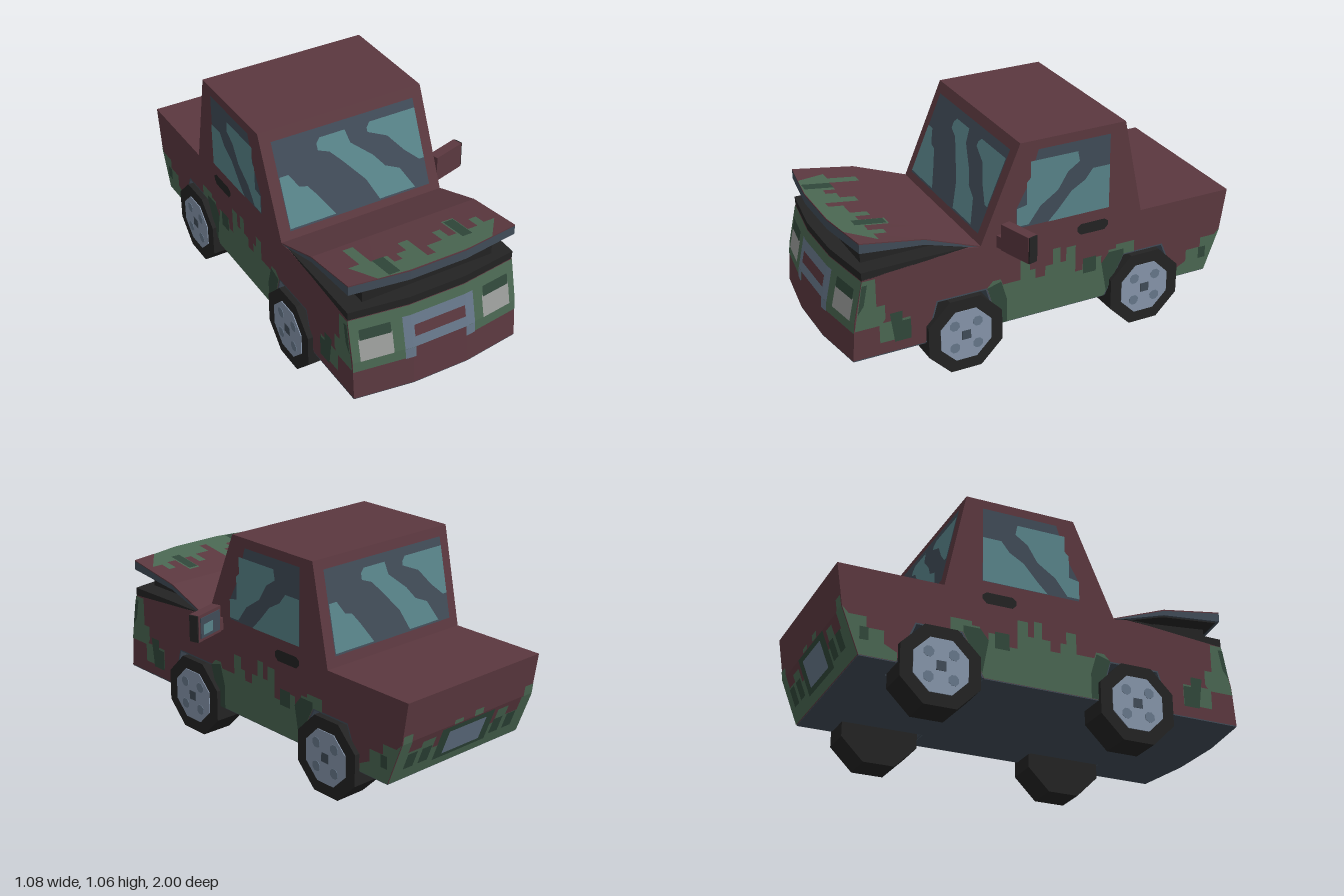
import * as THREE from 'three';

const mat = (name, color, flatShading = true) => {
  const m = new THREE.MeshStandardMaterial({ color, flatShading });
  m.name = name;
  return m;
};

export function createModel() {
  const maroon = mat('maroon paint', 0x5b383f), green = mat('moss green', 0x4a6752);
  const darkGreen = mat('dark moss', 0x30473a), black = mat('black rubber', 0x232323);
  const teal = mat('glass glare', 0x588389), slate = mat('slate', 0x404b57);
  const blueGrey = mat('blue grey metal', 0x66778a), hubGrey = mat('hub metal', 0x8695aa);
  const lampGrey = mat('lamp grey', 0x9a9c9a);

  const truck = new THREE.Group();
  truck.name = 'pickupTruck';
  const body = new THREE.Group();
  body.name = 'body';
  body.position.x = -0.095;
  truck.add(body);

  const add = (name, geo, material, parent = body) => {
    const m = new THREE.Mesh(geo, material);
    m.name = name;
    parent.add(m);
    return m;
  };
  const W = 0.42;
  // the nose is flat in the middle and swept back at the corners
  const sweep = x => 0.04 * Math.max(0, Math.abs(x) - 0.14) / 0.28;

  // Side profile of (z, y) points, extruded across the car from x0 to x1
  const prism = (name, material, pts, x0, x1, steps = 1) => {
    const shape = new THREE.Shape(pts.map(p => new THREE.Vector2(...p)));
    const geo = new THREE.ExtrudeGeometry(shape, { depth: x1 - x0, steps, bevelEnabled: false });
    geo.rotateY(-Math.PI / 2).translate(x1, 0, 0);
    const p = geo.attributes.position;
    for (let i = 0; i < p.count; i++) if (p.getZ(i) > 0.9) p.setZ(i, p.getZ(i) - sweep(p.getX(i)));
    geo.computeVertexNormals();
    return add(name, geo, material);
  };

  // Thin painted plate: 2D outline laid on a surface by a mapping rule
  const mapGeo = (geo, map, flip) => {
    const p = geo.attributes.position;
    for (let i = 0; i < p.count; i++) p.setXYZ(i, ...map(p.getX(i), p.getY(i)));
    if (flip) geo.setIndex(Array.from(geo.index.array).reverse());
    geo.computeVertexNormals();
    return geo;
  };
  const plate = (name, material, pts, map, flip = false) =>
    add(name, mapGeo(new THREE.ShapeGeometry(new THREE.Shape(pts.map(p => new THREE.Vector2(...p)))), map, flip), material);
  const rect = (x0, x1, y0, y1) => [[x0, y0], [x1, y0], [x1, y1], [x0, y1]];

  // Main shell: full centre section, outer sections with wheel arches
  const upper = [[0.985, 0.37], [0.94, 0.575], [0.6, 0.6], [0.4, 0.61], [0.33, 0.6], [0.13, 1.065],
    [-0.41, 1.065], [-0.51, 0.59], [-1, 0.59], [-0.97, 0.39], [-0.89, 0.18]];
  const arches = [[[-0.72, 0.18], [-0.64, 0.38], [-0.42, 0.38], [-0.32, 0.18]],
    [[0.24, 0.18], [0.3, 0.38], [0.55, 0.38], [0.61, 0.18]]];
  const floor = (a, b) => [[a, 0.176], [b, 0.176], [b, 0.181], [a, 0.181]];
  prism('shellCentre', [slate, maroon], [[1, 0.18], ...upper], -0.28, 0.28, 4);
  prism('floorCentre', slate, floor(-0.889, 0.999), -0.28, 0.28, 4);
  for (const [x0, x1] of [[-W, -0.28], [0.28, W]]) {
    prism('shellSide', maroon, [[1, 0.18], ...upper, ...arches.flat()], x0, x1);
    for (const [a, b] of [[-0.889, -0.72], [-0.32, 0.24], [0.61, 0.999]]) prism('floorSide', slate, floor(a, b), x0, x1);
    for (const a of arches) {
      const [p, q, r, s] = a;
      prism('archLining', slate, [p, q, r, s, [s[0] - 0.008, 0.18], [r[0] - 0.005, 0.373], [q[0] + 0.005, 0.373],
        [p[0] + 0.008, 0.18]], x0, x1);
    }
  }

  // Engine bay and raised hood
  prism('engineRim', black, [[0.941, 0.572], [0.943, 0.612], [0.6, 0.616], [0.38, 0.615], [0.6, 0.598]], -W, W, 6);
  prism('engineBlock', black, [[0.87, 0.6], [0.87, 0.7], [0.6, 0.682], [0.42, 0.615]], -0.33, 0.33);
  prism('hood', slate, [[0.945, 0.752], [0.945, 0.708], [0.6, 0.678], [0.38, 0.612], [0.33, 0.6], [0.6, 0.702]], -W, W, 6);
  prism('hoodLining', black, [[0.925, 0.707], [0.925, 0.701], [0.6, 0.672], [0.4, 0.612], [0.6, 0.679]], -0.41, 0.41, 6);
  prism('hoodPaint', maroon, [[0.945, 0.757], [0.945, 0.751], [0.6, 0.701], [0.33, 0.599], [0.33, 0.605], [0.6, 0.707]], -W, W, 6);
  const hoodMap = d => (x, z) => [x, 0.707 + (z - 0.6) * 0.145 + d, z];
  plate('hoodMoss', green, [[-W, 0.904], [-W, 0.8], [-0.35, 0.78], [-0.29, 0.78], [-0.29, 0.64], [-0.24, 0.64],
    [-0.24, 0.79], [-0.16, 0.79], [-0.16, 0.85], [-0.12, 0.85], [-0.12, 0.8], [-0.07, 0.8], [-0.07, 0.73], [-0.02, 0.73],
    [-0.02, 0.89], [0.02, 0.89], [0.02, 0.82], [0.1, 0.82], [0.1, 0.74], [0.14, 0.74], [0.14, 0.81], [0.18, 0.81],
    [0.18, 0.69], [0.24, 0.69], [0.24, 0.81], [0.29, 0.81], [0.29, 0.74], [0.33, 0.74], [0.33, 0.8], [W, 0.8],
    [W, 0.904], [0.14, 0.944], [-0.14, 0.944]], hoodMap(0.003), true);
  plate('hoodDarkMoss', darkGreen, rect(-0.235, -0.18, 0.79, 0.928), hoodMap(0.005), true);
  plate('hoodDarkMoss', darkGreen, rect(0.185, 0.235, 0.7, 0.85), hoodMap(0.005), true);

  // Nose: moss band, lamps and grille follow the swept front
  const frontZ = y => y < 0.37 ? 1 - (y - 0.18) * 0.079 : 0.985 - (y - 0.37) * 0.2195;
  const nose = (name, material, x0, x1, y0, y1, d, nx = 1, ny = 1) =>
    add(name, mapGeo(new THREE.PlaneGeometry(x1 - x0, y1 - y0, nx, ny).translate((x0 + x1) / 2, (y0 + y1) / 2, 0),
      (x, y) => [x, y, frontZ(y) - sweep(x) + d]), material);
  nose('noseMoss', green, -W, W, 0.32, 0.57, 0.002, 6, 5);
  nose('grille', blueGrey, -0.18, 0.18, 0.37, 0.525, 0.005, 9);
  nose('grilleSlot', maroon, -0.13, 0.13, 0.42, 0.475, 0.008);
  nose('grilleGap', maroon, -0.13, 0.13, 0.32, 0.37, 0.005);
  for (const s of [-1, 1]) {
    const [a, b] = s < 0 ? [-0.385, -0.23] : [0.23, 0.385];
    nose('headlight', lampGrey, a, b, 0.37, 0.475, 0.005);
    nose('lampShade', darkGreen, a + 0.005, b - 0.005, 0.47, 0.52, 0.007);
    nose('grilleLeg', blueGrey, s < 0 ? -0.18 : 0.13, s < 0 ? -0.13 : 0.18, 0.32, 0.37, 0.006, 5);
  }

  // Windshield and rear window, with diagonal glare
  const glare = [
    [[-0.365, 0.65], [-0.365, 0.87], [-0.32, 0.87], [-0.28, 0.81], [-0.24, 0.8], [-0.2, 0.75], [-0.13, 0.65]],
    [[-0.155, 0.96], [-0.135, 0.98], [-0.005, 0.98], [0.01, 0.92], [0.11, 0.84], [0.16, 0.78], [0.23, 0.75], [0.29, 0.65],
      [0.1, 0.65], [0.05, 0.75], [-0.05, 0.86], [-0.1, 0.91], [-0.155, 0.93]],
    [[0.105, 0.96], [0.125, 0.98], [0.365, 0.98], [0.365, 0.76], [0.34, 0.76], [0.27, 0.82], [0.2, 0.9], [0.105, 0.94]]];
  const windows = [
    ['windshield', d => (x, y) => [x, y, 0.33 - (y - 0.6) * 0.43 + d], false],
    ['rearWindow', d => (x, y) => [-x, y, -0.51 + (y - 0.59) * 0.2105 - d], false]];
  for (const [name, map, flip] of windows) {
    plate(name, slate, rect(-0.367, 0.367, 0.64, 1.02), map(0.004), flip);
    for (const g of glare) plate(name + 'Glare', teal, g, map(0.007), flip);
  }

  // Side windows, handles and moss, mirrored
  const sideWindow = [[0.15, 0.65], [0.15, 0.75], [0.09, 0.86], [0.04, 1.02], [-0.33, 1.02], [-0.33, 0.65]];
  const sideGlare = [
    [[0.15, 0.66], [0.15, 0.75], [0.1, 0.76], [0.1, 0.87], [0.08, 0.89], [0.08, 0.97], [-0.16, 0.97], [-0.17, 0.92],
      [-0.11, 0.88], [-0.06, 0.8], [0.03, 0.74], [0.09, 0.66]],
    [[-0.01, 0.65], [-0.06, 0.7], [-0.13, 0.78], [-0.2, 0.82], [-0.24, 0.87], [-0.33, 0.87], [-0.33, 0.65]]];
  const handle = [[-0.165, 0.56], [-0.185, 0.54], [-0.31, 0.54], [-0.33, 0.56], [-0.33, 0.58], [-0.31, 0.595], [-0.185, 0.595], [-0.165, 0.58]];
  const doorMoss = [[0.24, 0.18], [0.3, 0.38], [0.27, 0.41], [0.23, 0.41], [0.22, 0.38], [0.13, 0.38], [0.13, 0.48],
    [0.08, 0.48], [0.08, 0.42], [0.05, 0.42], [0.05, 0.37], [0, 0.37], [0, 0.42], [-0.04, 0.42], [-0.04, 0.5], [-0.08, 0.5],
    [-0.08, 0.42], [-0.11, 0.42], [-0.11, 0.49], [-0.16, 0.49], [-0.16, 0.35], [-0.2, 0.35], [-0.2, 0.4], [-0.3, 0.4],
    [-0.3, 0.36], [-0.34, 0.36], [-0.34, 0.42], [-0.38, 0.42], [-0.38, 0.44], [-0.48, 0.44], [-0.48, 0.38], [-0.42, 0.38], [-0.32, 0.18]];
  const noseMoss = [[0.947, 0.33], [0.902, 0.57], [0.84, 0.57], [0.84, 0.43], [0.8, 0.43], [0.8, 0.36], [0.82, 0.33]];
  const tailMoss = [[-0.97, 0.39], [-0.94, 0.36], [-0.86, 0.36], [-0.86, 0.31], [-0.78, 0.31], [-0.78, 0.25], [-0.72, 0.22],
    [-0.72, 0.18], [-0.89, 0.18]];
  const darkPatches = [rect(-0.27, -0.2, 0.33, 0.41), [[0.24, 0.18], [0.3, 0.38], [0.23, 0.4], [0.2, 0.3], [0.2, 0.18]],
    [[0.78, 0.38], [0.72, 0.38], [0.72, 0.33], [0.68, 0.33], [0.68, 0.23], [0.76, 0.23]],
    [[-0.42, 0.38], [-0.42, 0.41], [-0.34, 0.41], [-0.3, 0.36], [-0.33, 0.2]],
    [[0.905, 0.55], [0.88, 0.55], [0.9, 0.45], [0.93, 0.41]], rect(-0.89, -0.85, 0.25, 0.31)];
  for (const s of [-1, 1]) {
    const on = d => (z, y) => [s * (W + d), y, z];
    const side = (name, m, pts, d) => plate(name, m, pts, on(d), s > 0);
    side('sideWindow', slate, sideWindow, 0.003);
    sideGlare.forEach(g => side('sideGlare', teal, g, 0.006));
    side('doorHandle', black, handle, 0.005);
    for (const pts of [doorMoss, noseMoss, tailMoss, rect(0.68, 0.83, 0.24, 0.34)]) side('sideMoss', green, pts, 0.003);
    darkPatches.forEach(pts => side('sideDarkMoss', darkGreen, pts, 0.006));
  }

  // Tailgate moss and number plate
  const tail = d => (x, y) => [x, y, (y < 0.3901 ? -0.89 - (y - 0.18) * 0.381 : -0.97 - (y - 0.39) * 0.15) - d];
  plate('tailMoss', green, [[-W, 0.18], [W, 0.18], [W, 0.39], [0.36, 0.39], [0.36, 0.33], [0.28, 0.33], [0.28, 0.36], [0.2, 0.36],
    [0.2, 0.3], [-0.2, 0.3], [-0.2, 0.37], [-0.27, 0.37], [-0.27, 0.32], [-0.35, 0.32], [-0.35, 0.39], [-W, 0.39]], tail(0.003), true);
  for (const [x, h] of [[-0.39, 0.44], [-0.06, 0.42], [0.07, 0.41], [0.39, 0.43]])
    plate('tailDrip', green, rect(x - 0.028, x + 0.028, 0.39, h), tail(0.003), true);
  for (const x of [-0.31, -0.22, 0.24, 0.33])
    plate('tailDarkMoss', darkGreen, rect(x - 0.03, x + 0.03, 0.24, 0.32), tail(0.006), true);
  plate('platePocket', darkGreen, rect(-0.17, 0.17, 0.22, 0.385), tail(0.005), true);
  plate('numberPlate', blueGrey, rect(-0.12, 0.12, 0.24, 0.36), tail(0.008), true);

  // Wheels
  const octagon = (r, w) => new THREE.CylinderGeometry(r, r, w, 8).rotateY(Math.PI / 8).rotateZ(Math.PI / 2);
  for (const s of [-1, 1]) for (const z of [0.42, -0.53]) {
    const wheel = new THREE.Group();
    wheel.name = 'wheel';
    wheel.position.set(s * 0.368, 0.185, z);
    body.add(wheel);
    add('tyre', octagon(0.2, 0.156), black, wheel);
    add('hub', octagon(0.137, 0.006), hubGrey, wheel).position.x = s * 0.079;
    add('hubCap', new THREE.BoxGeometry(0.006, 0.045, 0.045), slate, wheel).position.x = s * 0.082;
    for (const a of [-1, 1]) for (const b of [-1, 1])
      add('wheelBolt', octagon(0.026, 0.006), blueGrey, wheel).position.set(s * 0.081, a * 0.058, b * 0.058);
  }

  // Wing mirror on the left door only
  const mirror = new THREE.Group();
  mirror.name = 'wingMirror';
  mirror.position.set(0.44, 0.645, 0.197);
  mirror.rotation.y = 0.28;
  truck.add(mirror);
  add('mirrorHousing', new THREE.BoxGeometry(0.175, 0.13, 0.05), maroon, mirror);
  add('mirrorArm', new THREE.BoxGeometry(0.05, 0.06, 0.04), maroon, mirror).position.set(-0.1, -0.035, 0);
  add('mirrorCap', new THREE.BoxGeometry(0.008, 0.128, 0.046), black, mirror).position.x = 0.09;
  add('mirrorGlass', new THREE.BoxGeometry(0.15, 0.1, 0.006), slate, mirror).position.z = -0.026;
  add('mirrorGlare', new THREE.BoxGeometry(0.07, 0.05, 0.006), teal, mirror).position.set(0.02, -0.01, -0.028);
  return truck;
}
